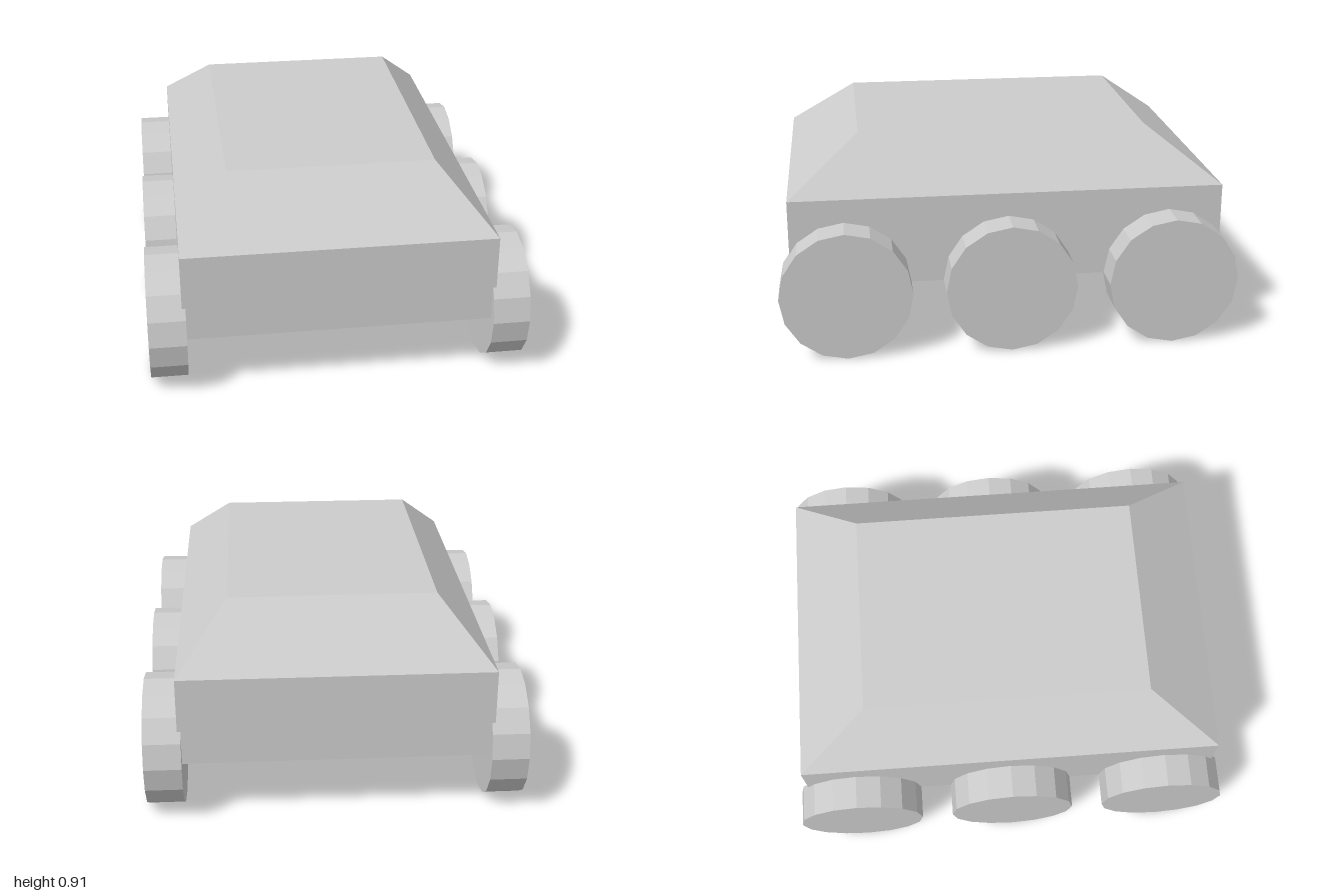
import * as THREE from 'three';

const material = new THREE.MeshStandardMaterial({ color: 0xcccccc, flatShading: true });

// Hull: box with three height levels, the top one drawn in to form the sloped roof
function createHull() {
  const geometry = new THREE.BoxGeometry(1.34, 2, 1.9, 1, 2, 1);
  const levels = [
    { y: 0.285, x: 0.67, z: 0.95 },
    { y: 0.675, x: 0.67, z: 0.95 },
    { y: 0.908, x: 0.45, z: 0.637 },
  ];
  const p = geometry.attributes.position;
  for (let i = 0; i < p.count; i++) {
    const level = levels[Math.round(p.getY(i)) + 1];
    p.setXYZ(i, Math.sign(p.getX(i)) * level.x, level.y, Math.sign(p.getZ(i)) * level.z);
  }
  geometry.computeVertexNormals();
  const hull = new THREE.Mesh(geometry, material);
  hull.name = 'hull';
  return hull;
}

export function createModel() {
  const model = new THREE.Group();
  model.name = 'sixWheeledVehicle';
  model.add(createHull());

  // Wheels: three per side, 16-sided discs
  const radius = 0.286;
  const wheelGeometry = new THREE.CylinderGeometry(radius, radius, 0.16, 16).rotateZ(Math.PI / 2);
  const axles = { front: 0.714, middle: 0, rear: -0.714 };
  for (const [side, sign] of [['Left', 1], ['Right', -1]]) {
    for (const [axle, z] of Object.entries(axles)) {
      const wheel = new THREE.Mesh(wheelGeometry, material);
      wheel.name = `${axle}${side}Wheel`;
      wheel.position.set(sign * 0.735, radius, z);
      model.add(wheel);
    }
  }
  return model;
}
